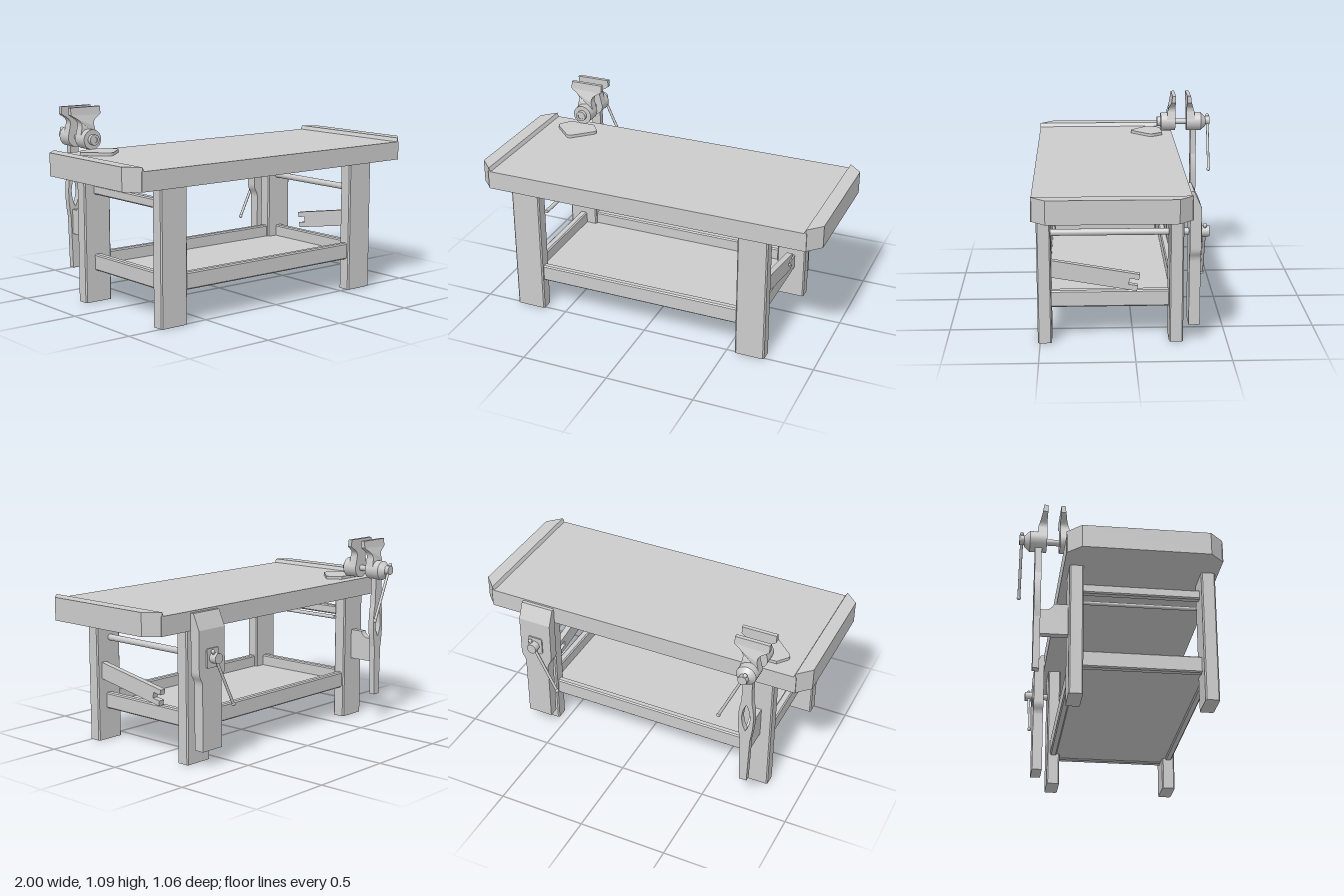
import * as THREE from 'three';

const mat = new THREE.MeshStandardMaterial({ color: 0xcccccc, side: THREE.DoubleSide });
const flat = new THREE.MeshStandardMaterial({ color: 0xcccccc, side: THREE.DoubleSide, flatShading: true });

const V = (x, y, z) => new THREE.Vector3(x, y, z);

function add(parent, name, geometry, material = flat) {
  const mesh = new THREE.Mesh(geometry, material);
  mesh.name = name;
  parent.add(mesh);
  return mesh;
}

const polygon = (pts) => new THREE.Shape(pts.map(([x, y]) => new THREE.Vector2(x, y)));

const extrude = (shape, depth) =>
  new THREE.ExtrudeGeometry(shape, { depth, bevelEnabled: false, curveSegments: 10 });

// Flat slab: outline given as (x, z), raised from y0 to y1
function slab(pts, y0, y1) {
  const shape = polygon(pts.map(([x, z]) => [x, -z]));
  return extrude(shape, y1 - y0).rotateX(-Math.PI / 2).translate(0, y0, 0);
}

// Beam with chamfered long edges, running along the given axis
function beam(x0, x1, y0, y1, z0, z1, axis, c = 0.007) {
  const size = [x1 - x0, y1 - y0, z1 - z0];
  const [w, h, d] = axis === 'x' ? [size[2], size[1], size[0]]
    : axis === 'y' ? [size[0], size[2], size[1]] : size;
  const a = w / 2, b = h / 2;
  const geo = extrude(polygon([
    [-a + c, -b], [a - c, -b], [a, -b + c], [a, b - c],
    [a - c, b], [-a + c, b], [-a, b - c], [-a, -b + c],
  ]), d).translate(0, 0, -d / 2);
  if (axis === 'x') geo.rotateY(Math.PI / 2);
  if (axis === 'y') geo.rotateX(Math.PI / 2);
  return geo.translate((x0 + x1) / 2, (y0 + y1) / 2, (z0 + z1) / 2);
}

// Round bar between two points
function bar(parent, name, a, b, r) {
  const mesh = add(parent, name, new THREE.CylinderGeometry(r, r, a.distanceTo(b), 20), mat);
  mesh.position.copy(a).add(b).multiplyScalar(0.5);
  mesh.quaternion.setFromUnitVectors(V(0, 1, 0), b.clone().sub(a).normalize());
  return mesh;
}

// Tapered handle bar with a small knob on each end
function handle(parent, name, a, b, r) {
  bar(parent, name, a, b, r);
  for (const p of [a, b]) {
    add(parent, name + 'Knob', new THREE.SphereGeometry(r * 1.45, 14, 10), mat).position.copy(p);
  }
}

// Turned part with hard edges, profile as (radius, z)
function turned(profile) {
  const pts = profile.flatMap(([r, z], i) =>
    i && i < profile.length - 1 ? [[r, z], [r, z]] : [[r, z]]);
  const geo = new THREE.LatheGeometry(pts.map(([r, z]) => new THREE.Vector2(r, z)), 28);
  return geo.rotateX(Math.PI / 2);
}

function buildBench(g) {
  // Top board and raised end caps with cut corners
  const zb = -0.295, zf = 0.53, c = 0.075;
  add(g, 'tableTop', slab([[-0.93, zb], [0.93, zb], [0.93, zf], [-0.93, zf]], 0.735, 0.84));
  for (const s of [-1, 1]) {
    const pts = [[0.925, zb], [1, zb + c], [1, zf - c], [0.925, zf]].map(([x, z]) => [x * s, z]);
    add(g, 'endCap', slab(pts, 0.735, 0.862));
    add(g, 'endCapSlope', extrude(polygon([[0.915 * s, 0.84], [0.925 * s, 0.862], [0.925 * s, 0.84]]), zf - zb))
      .position.z = zb;
  }

  // Legs
  for (const [x0, x1] of [[-0.8, -0.63], [0.55, 0.72]]) {
    add(g, 'frontLeg', beam(x0, x1, 0, 0.736, 0.437, 0.512, 'y'));
    add(g, 'backLeg', beam(x0, x1, 0, 0.736, -0.265, -0.19, 'y'));
    const xm = (x0 + x1) / 2;
    add(g, 'sideRail', beam(xm - 0.022, xm + 0.022, 0.18, 0.272, -0.2, 0.45, 'z'));
  }

  // Long rails and shelf
  for (const z of [0.475, -0.228]) {
    add(g, 'longRail', beam(-0.64, 0.56, 0.18, 0.275, z - 0.02, z + 0.02, 'x'));
  }
  add(g, 'shelf', slab([[-0.71, -0.22], [0.63, -0.22], [0.63, 0.47], [-0.71, 0.47]], 0.188, 0.206));

  // Upper left rail and rod
  add(g, 'upperRail', beam(-0.737, -0.693, 0.61, 0.663, -0.2, 0.45, 'z'));
  bar(g, 'upperRod', V(-0.618, 0.61, -0.2), V(-0.618, 0.61, 0.45), 0.011);

  // Sloping notched brace on the left side, drawn along its length
  const brace = extrude(polygon([
    [0, 0], [0.51, 0], [0.51, 0.03], [0.46, 0.03], [0.46, 0.063], [0.51, 0.063], [0.51, 0.093], [0, 0.093],
  ]), 0.035).rotateY(Math.PI / 2);
  const braceMesh = add(g, 'notchedBrace', brace);
  braceMesh.position.set(0.655, 0.367, 0.484);
  braceMesh.rotation.x = -0.175;
}

function buildLegVise(g) {
  const x = 0.6225;
  // Chop: wide at the top, curving in to a slimmer foot
  const outline = (top) => {
    const s = new THREE.Shape();
    s.moveTo(-0.073, 0.085);
    s.lineTo(0.073, 0.085);
    s.lineTo(0.073, 0.44);
    s.bezierCurveTo(0.073, 0.48, 0.0975, 0.48, 0.0975, 0.52);
    s.lineTo(0.0975, top);
    s.lineTo(-0.0975, top);
    s.lineTo(-0.0975, 0.52);
    s.bezierCurveTo(-0.0975, 0.48, -0.073, 0.48, -0.073, 0.44);
    s.closePath();
    return s;
  };
  add(g, 'chopInner', extrude(outline(0.83), 0.02)).position.set(x, 0, -0.315);
  const outer = extrude(outline(0.83), 0.04);
  const p = outer.attributes.position;
  for (let i = 0; i < p.count; i++) {
    if (p.getY(i) > 0.8 && p.getZ(i) < 0.01) p.setY(i, 0.742);
  }
  outer.computeVertexNormals();
  add(g, 'chopOuter', outer).position.set(x, 0, -0.355);

  // Screw, collar plate and handle
  bar(g, 'legViseScrew', V(x, 0.588, 0.45), V(x, 0.588, -0.37), 0.018);
  add(g, 'collarPlate', beam(x - 0.045, x + 0.045, 0.535, 0.64, -0.363, -0.354, 'z'));
  bar(g, 'screwHead', V(x, 0.588, -0.36), V(x, 0.588, -0.405), 0.029);
  handle(g, 'legViseHandle', V(0.485, 0.315, -0.38), V(0.642, 0.625, -0.38), 0.008);
}

// One jaw with its round body; the gripping face lies on z = 0 and the body runs to +z
function buildJaw(name, profile) {
  const jaw = new THREE.Group();
  jaw.name = name;
  add(jaw, name + 'Body', turned(profile), mat);
  const s = new THREE.Shape();
  s.moveTo(-0.052, 0.02);
  s.lineTo(0.052, 0.02);
  s.lineTo(0.04, 0.07);
  s.bezierCurveTo(0.035, 0.11, 0.075, 0.115, 0.097, 0.135);
  s.lineTo(0.097, 0.176);
  s.lineTo(-0.097, 0.176);
  s.lineTo(-0.097, 0.135);
  s.bezierCurveTo(-0.075, 0.115, -0.035, 0.11, -0.04, 0.07);
  s.closePath();
  const geo = extrude(s, 1);
  const p = geo.attributes.position;
  for (let i = 0; i < p.count; i++) {
    const t = THREE.MathUtils.clamp((p.getY(i) - 0.06) / 0.09, 0, 1);
    p.setZ(i, p.getZ(i) * THREE.MathUtils.lerp(0.052, 0.022, t));
  }
  geo.computeVertexNormals();
  add(jaw, name + 'Grip', geo);
  return jaw;
}

function buildPostVise(g) {
  const x = -0.718, y = 0.91;
  const fixed = buildJaw('fixedJaw', [
    [0, 0], [0.056, 0], [0.056, 0.09], [0.03, 0.09], [0.03, 0.113], [0.017, 0.113], [0.017, 0.108], [0, 0.108],
  ]);
  fixed.position.set(x, y, -0.315);
  const moving = buildJaw('movingJaw', [
    [0, 0], [0.056, 0], [0.056, 0.09], [0.028, 0.12], [0, 0.12],
  ]);
  moving.position.set(x, y, -0.385);
  moving.rotation.y = Math.PI;
  g.add(fixed, moving);

  // Screw and handle
  bar(g, 'viseScrew', V(x, y, -0.3), V(x, y, -0.4), 0.017);
  bar(g, 'viseScrewHead', V(x, y + 0.005, -0.5), V(x, y + 0.005, -0.53), 0.026);
  handle(g, 'viseHandle', V(x - 0.012, 0.945, -0.518), V(-0.59, 0.632, -0.518), 0.008);

  // Shield-shaped mounting plate on the bench top
  const s = new THREE.Shape();
  s.moveTo(-0.075, 0.23);
  s.lineTo(0.075, 0.23);
  s.lineTo(0.118, 0.175);
  s.quadraticCurveTo(0.13, 0.155, 0.112, 0.138);
  s.lineTo(0.02, 0.05);
  s.quadraticCurveTo(0, 0.03, -0.02, 0.05);
  s.lineTo(-0.112, 0.138);
  s.quadraticCurveTo(-0.13, 0.155, -0.118, 0.175);
  s.closePath();
  add(g, 'mountingPlate', extrude(s, 0.018).rotateX(-Math.PI / 2)).position.set(x, 0.839, 0);

  // Slotted post hanging below the moving jaw
  const post = new THREE.Shape();
  post.moveTo(-0.022, 0.157);
  post.lineTo(0.022, 0.157);
  post.lineTo(0.03, 0.45);
  post.quadraticCurveTo(0.058, 0.6, 0.03, 0.71);
  post.lineTo(0.026, 0.87);
  post.lineTo(-0.026, 0.87);
  post.lineTo(-0.03, 0.71);
  post.quadraticCurveTo(-0.058, 0.6, -0.03, 0.45);
  post.closePath();
  const slot = new THREE.Path();
  slot.moveTo(0, 0.51);
  slot.quadraticCurveTo(0.048, 0.6, 0, 0.69);
  slot.quadraticCurveTo(-0.048, 0.6, 0, 0.51);
  post.holes.push(slot);
  add(g, 'visePost', extrude(post, 0.035)).position.set(x, 0, -0.446);

  // Link plate from the back leg to the post, outline as (distance behind, y)
  const link = new THREE.Shape();
  link.moveTo(0.26, 0.355);
  link.lineTo(0.43, 0.355);
  link.lineTo(0.43, 0.495);
  link.lineTo(0.38, 0.495);
  link.quadraticCurveTo(0.35, 0.5, 0.34, 0.53);
  link.lineTo(0.26, 0.53);
  link.closePath();
  add(g, 'linkPlate', extrude(link, 0.04).rotateY(Math.PI / 2)).position.set(x - 0.02, 0, 0);
}

export function createModel() {
  const model = new THREE.Group();
  model.name = 'workbench';
  for (const [name, build] of [['bench', buildBench], ['legVise', buildLegVise], ['postVise', buildPostVise]]) {
    const part = new THREE.Group();
    part.name = name;
    build(part);
    model.add(part);
  }
  return model;
}
